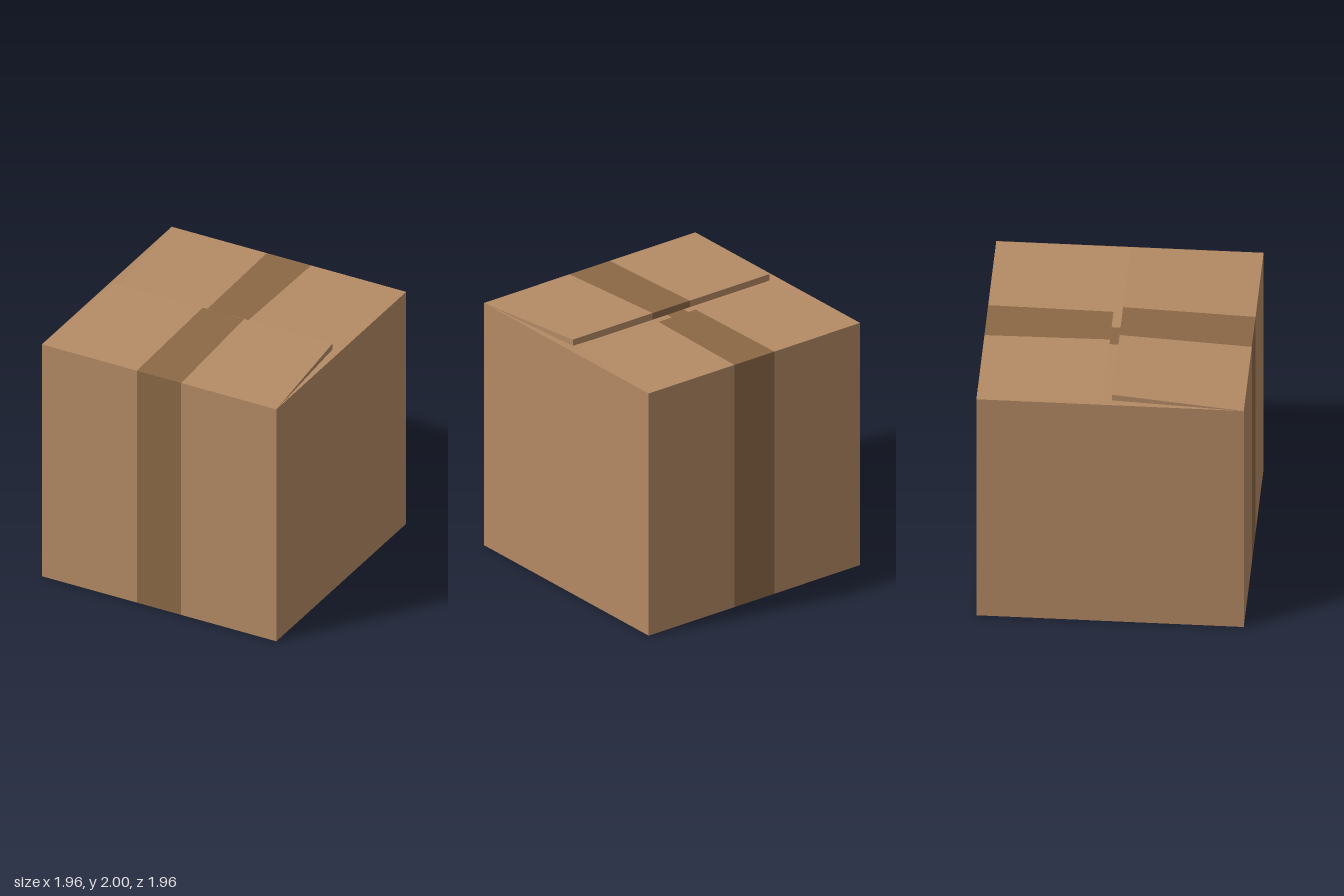
import * as THREE from 'three';

const HALF = 0.978, TOP = 1.955, TAPE = 0.185 / HALF;

const cardboard = new THREE.MeshStandardMaterial({ color: 0xb48a65, side: THREE.DoubleSide });
cardboard.name = 'cardboard';
const tape = new THREE.MeshStandardMaterial({ color: 0x8b6846, side: THREE.DoubleSide });
tape.name = 'packing tape';

// Flat polygons given as corner lists, counter-clockwise from outside
function faces(name, material, polygons) {
  const positions = [];
  for (const p of polygons) {
    for (let i = 1; i < p.length - 1; i++) positions.push(...p[0], ...p[i], ...p[i + 1]);
  }
  const geometry = new THREE.BufferGeometry();
  geometry.setAttribute('position', new THREE.Float32BufferAttribute(positions, 3));
  geometry.computeVertexNormals();
  const mesh = new THREE.Mesh(geometry, material);
  mesh.name = name;
  return mesh;
}

// Panel swept along [z, y, halfWidth] sections, with a taped middle column
function tapedPanel(name, sections) {
  const columns = [-1, -TAPE, TAPE, 1];
  const plain = [], taped = [];
  for (let s = 0; s < sections.length - 1; s++) {
    const [z0, y0, w0] = sections[s];
    const [z1, y1, w1] = sections[s + 1];
    for (let c = 0; c < 3; c++) {
      const a = columns[c], b = columns[c + 1];
      (c === 1 ? taped : plain).push([
        [a * w0, y0, z0], [b * w0, y0, z0], [b * w1, y1, z1], [a * w1, y1, z1]]);
    }
  }
  const group = new THREE.Group();
  group.name = name;
  group.add(faces(name + 'Card', cardboard, plain), faces(name + 'Tape', tape, taped));
  return group;
}

export function createModel() {
  const box = new THREE.Group();
  box.name = 'cardboardBox';

  // Walls and base
  box.add(tapedPanel('frontWall', [[HALF, 0, HALF], [HALF, TOP, HALF]]));
  box.add(tapedPanel('backWall', [[-HALF, TOP, HALF], [-HALF, 0, HALF]]));
  box.add(tapedPanel('base', [[-HALF, 0, HALF], [HALF, 0, HALF]]));
  for (const s of [1, -1]) {
    const wall = [[s * HALF, 0, s * HALF], [s * HALF, 0, -s * HALF],
      [s * HALF, TOP, -s * HALF], [s * HALF, TOP, s * HALF]];
    box.add(faces(s > 0 ? 'leftWall' : 'rightWall', cardboard, [wall]));
  }

  // Raised front flap: top, free edge, underside, then its two ends
  const hinge = [HALF, TOP, HALF], tip = [0.01, 2, 0.91], tipLow = [0.01, 1.947, 0.91];
  const frontFlap = tapedPanel('frontFlap', [hinge, tip, tipLow, hinge]);
  for (const s of [1, -1]) {
    const end = [hinge, tip, tipLow].map(([z, y, w]) => [s * w, y, z]);
    if (s > 0) end.reverse();
    frontFlap.add(faces('frontFlapEnd', cardboard, [end.reverse()]));
  }
  box.add(frontFlap);

  // Back flap, lying level
  box.add(tapedPanel('backFlap', [[-0.06, TOP, 0.903], [-HALF, TOP, HALF]]));

  // Inner side flaps sloping down, one tucked under the other
  const innerFlap = (name, material, x0, y0, x1, y1) => {
    const [za, zb] = [x0, x1].map((x) => 0.9 + 0.075 * Math.abs(x) / HALF);
    box.add(faces(name, material, [
      [[x0, y0, za], [x1, y1, zb], [x1, y1, -zb], [x0, y0, -za]]]));
  };
  const slope = (x) => 1.953 - 0.055 * (x + HALF);
  innerFlap('rightInnerFlap', cardboard, -HALF, slope(-HALF), -0.165, slope(-0.165));
  innerFlap('rightInnerFlapTape', tape, -0.165, slope(-0.165), 0.1, slope(0.1));
  innerFlap('leftInnerFlap', cardboard, 0.015, 1.93, HALF, 1.953);

  return box;
}
